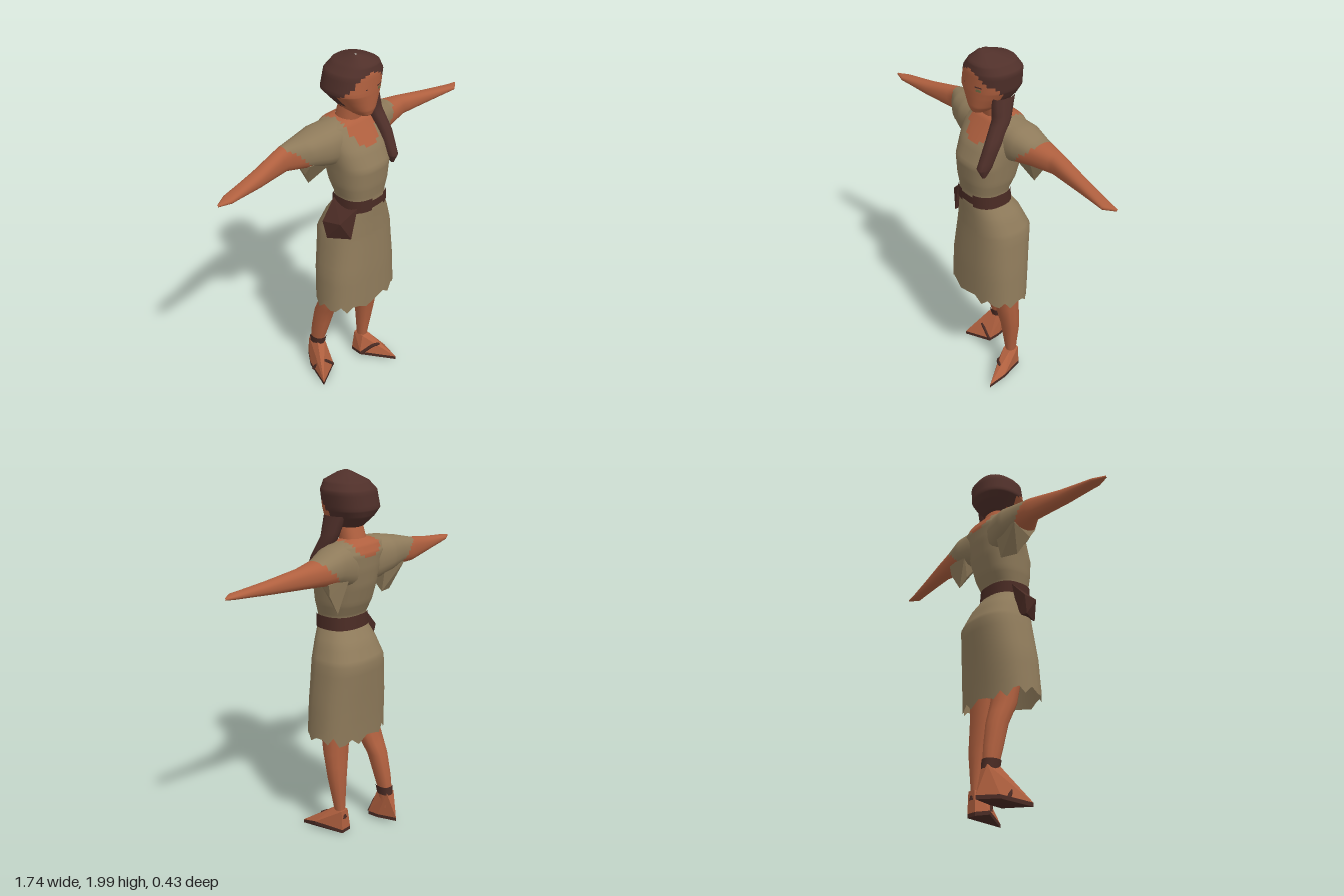
import * as THREE from 'three';
import { ConvexGeometry } from 'three/addons/geometries/ConvexGeometry.js';

const mat = (name, color, side = THREE.FrontSide) => {
  const m = new THREE.MeshStandardMaterial({ color, side });
  m.name = name;
  return m;
};
const skin = mat('skin', 0xb0603f);
const cloth = mat('cloth', 0x8f7b5b, THREE.DoubleSide);
const hair = mat('hair', 0x50302a);
const leather = mat('leather', 0x4a2b24);
const iris = mat('iris', 0x6d6a42);

const V = (p) => new THREE.Vector3(...p);
const power = (v, p) => Math.sign(v) * Math.abs(v) ** p;

// Skin over rounded cross-sections. Rows along y: [y, x0, x1, z0, z1]; along x: [x, y0, y1, z0, z1].
// rule(x, y, z) picks the material index of each face from its centre.
function loft(rows, { axis = 'y', n = 24, steps = 4, rule = null, bend = null, p = 0.85 } = {}) {
  const pos = [], lists = [[], []];
  const count = (rows.length - 1) * steps;
  for (let k = 0; k <= count; k++) {
    const i = Math.min(Math.floor(k / steps), rows.length - 2);
    const f = k / steps - i;
    const [t, a0, a1, z0, z1] = rows[i].map((v, c) => v + (rows[i + 1][c] - v) * f);
    for (let j = 0; j < n; j++) {
      const ang = (j / n) * Math.PI * 2;
      const s = (a1 - a0) / 2 * power(Math.sin(ang), p);
      const z = (z0 + z1) / 2 + (z1 - z0) / 2 * power(Math.cos(ang), p);
      const q = axis === 'y' ? [(a0 + a1) / 2 + s, t, z] : [t, (a0 + a1) / 2 - s, z];
      if (bend) bend(q, k, j);
      pos.push(...q);
    }
  }
  for (let k = 0; k < count; k++) for (let j = 0; j < n; j++) {
    const a = k * n + j, b = k * n + (j + 1) % n, c = b + n, d = a + n;
    for (const tri of [[a, b, c], [a, c, d]]) {
      const mid = [0, 1, 2].map((e) => (pos[a * 3 + e] + pos[b * 3 + e] + pos[c * 3 + e] + pos[d * 3 + e]) / 4);
      lists[rule && rule(...mid) ? 1 : 0].push(...tri);
    }
  }
  const g = new THREE.BufferGeometry();
  g.setAttribute('position', new THREE.Float32BufferAttribute(pos, 3));
  g.setIndex([...lists[0], ...lists[1]]);
  g.computeVertexNormals();
  if (rule) {
    g.addGroup(0, lists[0].length, 0);
    g.addGroup(lists[0].length, lists[1].length, 1);
  }
  return g;
}

export function createModel() {
  const model = new THREE.Group();
  model.name = 'womanInTunic';
  const add = (name, geometry, material) => {
    const m = new THREE.Mesh(geometry, material);
    m.name = name;
    model.add(m);
    return m;
  };

  // Head: hair with the face cut out by a hairline rule
  add('head', loft([
    [1.688, -0.005, 0.005, 0.08, 0.09], [1.7, -0.04, 0.04, 0.02, 0.145], [1.73, -0.075, 0.075, -0.05, 0.155],
    [1.78, -0.115, 0.11, -0.1, 0.158], [1.82, -0.148, 0.132, -0.12, 0.16], [1.91, -0.13, 0.145, -0.112, 0.16],
    [1.955, -0.09, 0.115, -0.08, 0.15], [1.99, -0.045, 0.03, 0.02, 0.1], [2.0, -0.03, -0.02, 0.065, 0.075],
  ], {
    n: 36, steps: 5,
    rule: (x, y, z) => y < 1.925 - 6 * x * x && z > (y < 1.75 ? 0.03 : 0.06 + Math.max(0, y - 1.8) * 0.5),
  }), [hair, skin]);

  // Eyes and brows: thin plates on the face
  for (const s of [-1, 1]) {
    const eye = add('eye', new THREE.BoxGeometry(0.028, 0.012, 0.006), iris);
    eye.position.set(s * 0.055, 1.832, 0.149);
    const brow = add('brow', new THREE.BoxGeometry(0.04, 0.006, 0.006), hair);
    brow.position.set(s * 0.055, 1.848, 0.149);
    eye.rotation.y = brow.rotation.y = s * 0.35;
  }

  add('neck', loft([
    [1.58, -0.08, 0.08, -0.08, 0.07], [1.64, -0.075, 0.07, -0.065, 0.065], [1.75, -0.065, 0.065, -0.03, 0.08],
  ]), skin);

  // Braid falling over the left shoulder
  add('braid', loft([
    [1.4, 0.125, 0.14, 0.17, 0.19], [1.45, 0.1, 0.155, 0.13, 0.215], [1.57, 0.095, 0.165, 0.07, 0.165],
    [1.68, 0.075, 0.155, 0.01, 0.105], [1.79, 0.06, 0.135, -0.03, 0.1],
  ], { n: 10 }), hair);

  // Tunic top with a round neckline
  add('tunicTop', loft([
    [1.2, -0.13, 0.13, -0.035, 0.19], [1.26, -0.13, 0.13, -0.035, 0.19], [1.33, -0.145, 0.15, -0.07, 0.2],
    [1.43, -0.155, 0.165, -0.1, 0.205], [1.52, -0.17, 0.18, -0.115, 0.165], [1.6, -0.19, 0.195, -0.12, 0.11],
    [1.645, -0.17, 0.17, -0.1, 0.08], [1.67, -0.06, 0.06, -0.06, 0.05],
  ], {
    n: 40, steps: 5, p: 0.8,
    rule: (x, y, z) => (x / 0.095) ** 2 + ((y - 1.645) / (z > 0 ? 0.115 : 0.065)) ** 2 < 1,
  }), [cloth, skin]);

  // Skirt with a ragged hem
  add('skirt', loft([
    [0.6, -0.245, 0.245, -0.1, 0.2], [0.8, -0.23, 0.235, -0.115, 0.197], [1.02, -0.19, 0.215, -0.135, 0.188],
    [1.12, -0.16, 0.175, -0.09, 0.188], [1.2, -0.13, 0.13, -0.035, 0.19],
  ], {
    n: 32, p: 0.8,
    bend: (q, k, j) => { if (k === 0) q[1] += 0.022 * Math.sin(j * 2.4) - (q[2] < -0.05 ? 0.025 : 0); },
  }), cloth);

  // Belt narrowing to a knot in front, and the pouch hanging from it
  add('belt', loft([
    [1.19, -0.14, 0.14, -0.045, 0.197], [1.26, -0.137, 0.137, -0.04, 0.197],
  ], {
    n: 40, steps: 5, p: 0.8,
    rule: (x, y, z) => z > 0 && Math.abs(x - 0.005) < 0.04 && Math.abs(y - 1.222) > 0.018,
  }), [leather, cloth]);
  add('pouch', new ConvexGeometry([
    [-0.13, 1.24, 0.02], [-0.11, 1.22, 0.165], [-0.225, 1.14, 0.03], [-0.2, 1.15, 0.13],
    [-0.215, 1.04, 0.05], [-0.15, 1.05, 0.16], [-0.17, 1.04, 0.03],
  ].map(V)), leather);

  // Arms, the upper part coloured as a sleeve
  add('leftArm', loft([
    [0.08, 1.42, 1.665, -0.11, 0.1], [0.2, 1.46, 1.648, -0.12, 0.08], [0.3, 1.475, 1.61, -0.105, 0.045],
    [0.43, 1.488, 1.592, -0.08, 0.012], [0.62, 1.5, 1.565, -0.045, 0.027], [0.81, 1.515, 1.542, -0.01, 0.048],
    [0.868, 1.525, 1.535, 0, 0.008],
  ], { axis: 'x', steps: 6, rule: (x, y) => x > 0.21 + (y - 1.49) * 1 }), [cloth, skin]);
  add('rightArm', loft([
    [-0.868, 1.525, 1.535, 0.018, 0.026], [-0.8, 1.515, 1.545, -0.02, 0.045], [-0.6, 1.495, 1.573, -0.058, 0.022],
    [-0.4, 1.48, 1.61, -0.1, -0.01], [-0.3, 1.475, 1.635, -0.11, 0.055], [-0.2, 1.45, 1.655, -0.125, 0.09],
    [-0.08, 1.42, 1.665, -0.11, 0.1],
  ], { axis: 'x', steps: 6, rule: (x, y) => x < -0.28 - (y - 1.48) * 0.95 }), [cloth, skin]);

  // Loose cloth hanging under the sleeves
  add('leftSleeveDrape', new ConvexGeometry([
    [0.29, 1.49, -0.095], [0.28, 1.43, -0.09], [0.21, 1.32, -0.08], [0.17, 1.38, -0.06],
    [0.14, 1.5, 0.03], [0.26, 1.49, 0.0], [0.14, 1.5, -0.1],
  ].map(V)), cloth);
  add('rightSleeveDrape', new ConvexGeometry([
    [-0.31, 1.5, 0.04], [-0.31, 1.44, 0], [-0.25, 1.35, -0.04], [-0.15, 1.36, -0.07],
    [-0.14, 1.5, 0.07], [-0.3, 1.5, -0.1], [-0.14, 1.5, -0.1],
  ].map(V)), cloth);

  // Legs
  add('leftLeg', loft([
    [0.1, 0.095, 0.15, -0.045, 0.02], [0.14, 0.1, 0.152, -0.04, 0.02], [0.35, 0.075, 0.187, -0.045, 0.05],
    [0.5, 0.045, 0.195, -0.04, 0.08], [0.8, 0.01, 0.2, -0.04, 0.12],
  ], { n: 12, steps: 2 }), skin);
  add('rightLeg', loft([
    [0.1, -0.165, -0.105, -0.165, -0.09], [0.2, -0.165, -0.1, -0.165, -0.085], [0.3, -0.17, -0.085, -0.155, -0.055],
    [0.43, -0.175, -0.065, -0.13, -0.02], [0.55, -0.18, -0.035, -0.085, 0.04], [0.8, -0.18, -0.01, -0.03, 0.1],
  ], { n: 12, steps: 2 }), skin);
  add('rightAnkleStrap', loft([
    [0.185, -0.17, -0.095, -0.172, -0.078], [0.235, -0.172, -0.09, -0.167, -0.068],
  ], { n: 12, steps: 1 }), leather);
  add('leftAnkleStrap', loft([
    [0.1, 0.09, 0.158, -0.052, 0.04], [0.125, 0.093, 0.157, -0.048, 0.032],
  ], { n: 12, steps: 1 }), leather);

  // Feet in sandals: foot, sole and instep strap
  const feet = [
    {
      side: 'left',
      sole: [[0.2, 0.01, 0.2], [0.21, 0.04, 0.1], [0.07, 0.03, 0.03], [0.085, 0.015, -0.05], [0.15, 0.015, -0.05]],
      top: [[0.1, 0.15, 0.02], [0.15, 0.15, 0.02], [0.1, 0.15, -0.045], [0.15, 0.15, -0.045], [0.14, 0.11, 0.075]],
      strap: [[0.075, 0.04, 0.035], [0.14, 0.1, 0.09], [0.205, 0.05, 0.1]],
    },
    {
      side: 'right',
      sole: [[-0.25, 0.01, 0.04], [-0.1, 0.02, -0.03], [-0.1, 0.025, -0.1], [-0.13, 0.03, -0.21], [-0.2, 0.035, -0.12]],
      top: [[-0.165, 0.2, -0.09], [-0.11, 0.2, -0.09], [-0.105, 0.2, -0.16], [-0.16, 0.2, -0.165], [-0.19, 0.11, -0.04]],
      strap: [[-0.105, 0.035, -0.03], [-0.185, 0.11, -0.035], [-0.215, 0.04, -0.08]],
    },
  ];
  for (const { side, sole, top, strap } of feet) {
    const lifted = sole.map(([x, y, z]) => [x, y + 0.02, z]);
    add(side + 'Foot', new ConvexGeometry([...lifted, ...top].map(V)), skin);
    add(side + 'Sole', new ConvexGeometry([...sole, ...lifted].map(V)), leather);
    add(side + 'SandalStrap', new THREE.TubeGeometry(new THREE.CatmullRomCurve3(strap.map(V)), 8, 0.011, 6), leather);
  }
  return model;
}
